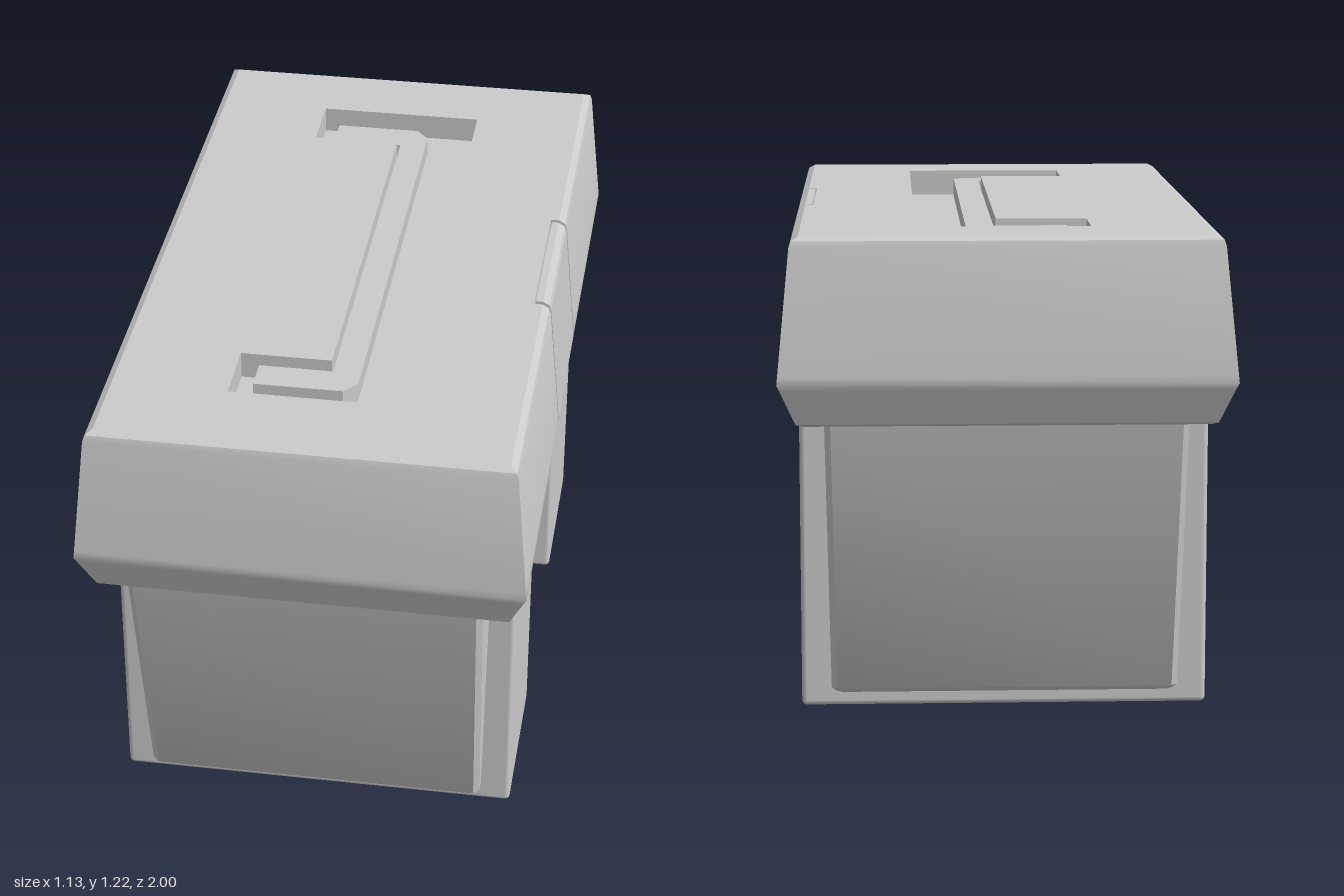
import * as THREE from 'three';
import { toCreasedNormals } from 'three/addons/utils/BufferGeometryUtils.js';
import { RoundedBoxGeometry } from 'three/addons/geometries/RoundedBoxGeometry.js';

const grey = new THREE.MeshStandardMaterial({ color: 0xcccccc });
const greyDouble = new THREE.MeshStandardMaterial({ color: 0xcccccc, side: THREE.DoubleSide });

function part(name, geometry, material = grey) {
  const mesh = new THREE.Mesh(geometry, material);
  mesh.name = name;
  return mesh;
}

const toShape = (pts) => new THREE.Shape(pts.map(([x, z]) => new THREE.Vector2(x, z)));

// Flat plate from an (x, z) outline, with its upper face at y = top
function slab(outline, top, depth, hole) {
  const shape = toShape(outline);
  if (hole) shape.holes.push(toShape(hole));
  const geo = new THREE.ExtrudeGeometry(shape, { depth, bevelEnabled: false });
  return geo.rotateX(Math.PI / 2).translate(0, top, 0);
}

// Open skin through rings [{ y, pts: [[x, z], ...] }] listed from bottom to top
function loft(rings) {
  const pos = [];
  for (let r = 0; r < rings.length - 1; r++) {
    const lo = rings[r], hi = rings[r + 1], n = lo.pts.length;
    for (let i = 0; i < n; i++) {
      const j = (i + 1) % n;
      const at = (ring, k) => [ring.pts[k][0], ring.y, ring.pts[k][1]];
      const a = at(lo, i), b = at(lo, j), c = at(hi, j), d = at(hi, i);
      pos.push(...a, ...c, ...b, ...a, ...d, ...c);
    }
  }
  const geo = new THREE.BufferGeometry();
  geo.setAttribute('position', new THREE.Float32BufferAttribute(pos, 3));
  geo.computeVertexNormals();
  return toCreasedNormals(geo, 0.7);
}

// Half width and height of the lid wall; its half length is always 0.44 more
const lidProfile = [
  [0.5, 0.755], [0.515, 0.762], [0.552, 0.85], [0.559, 0.866],
  [0.557, 0.885], [0.527, 1.195], [0.522, 1.21], [0.505, 1.22],
];
const NOTCH_X = 0.483, NOTCH_Z = 0.216;

// Lid outline with the notch for the latch
const lidOutline = (w) => {
  const l = w + 0.44;
  return [
    [-w, -l], [w, -l], [w, -NOTCH_Z], [NOTCH_X, -NOTCH_Z],
    [NOTCH_X, NOTCH_Z], [w, NOTCH_Z], [w, l], [-w, l],
  ];
};

const chamferedRect = (w, l, c) => [
  [-w + c, -l], [w - c, -l], [w, -l + c], [w, l - c],
  [w - c, l], [-w + c, l], [-w, l - c], [-w, -l + c],
];

function createLid() {
  const lid = new THREE.Group();
  lid.name = 'lid';

  const rings = lidProfile.map(([w, y]) => ({ y, pts: lidOutline(w) }));
  lid.add(part('lidWall', loft(rings)));
  lid.add(part('lidUnderside', slab(lidOutline(0.5), 0.765, 0.01)));

  // Top plate with a C-shaped recess around a flush centre block
  const recess = [
    [-0.215, -0.745], [0.22, -0.745], [0.22, 0.735], [-0.215, 0.735],
    [-0.215, 0.56], [0.015, 0.56], [0.015, -0.57], [-0.215, -0.57],
  ];
  lid.add(part('lidTop', slab(lidOutline(0.505), 1.22, 0.07, recess)));
  lid.add(part('recessFloor', slab(recess, 1.15, 0.01)));

  // Folding handle lying in the recess
  const handle = [
    [-0.165, -0.68], [0.06, -0.68], [0.092, -0.64], [0.092, 0.63], [0.06, 0.67],
    [-0.165, 0.67], [-0.165, 0.585], [0.022, 0.585], [0.022, -0.59], [-0.165, -0.59],
  ];
  lid.add(part('handle', slab(handle, 1.205, 0.05)));

  // Latch following the lid wall, with a narrow gap at each end
  const latchShape = toShape([[0.487, 0.755], ...lidProfile, [0.487, 1.22]]);
  const latchGeo = new THREE.ExtrudeGeometry(latchShape, { depth: 0.406, bevelEnabled: false });
  lid.add(part('latch', latchGeo.translate(0, 0, -0.203), greyDouble));

  // Two hinges of three knuckles each
  for (const side of [-1, 1]) {
    for (let i = -1; i <= 1; i++) {
      const knuckle = new THREE.CylinderGeometry(0.013, 0.013, 0.076, 12).rotateX(Math.PI / 2);
      const mesh = part('hingeKnuckle', knuckle);
      mesh.position.set(-0.555, 0.868, side * 0.49 + i * 0.082);
      lid.add(mesh);
    }
  }
  return lid;
}

function createBase() {
  const base = new THREE.Group();
  base.name = 'base';

  // Tapered tub
  const rings = [[0.425, 0.78, 0.045], [0.437, 0.792, 0.057], [0.447, 0.935, 0.77]]
    .map(([w, l, y]) => ({ y, pts: chamferedRect(w, l, 0.015) }));
  base.add(part('tubWall', loft(rings)));
  base.add(part('tubBottom', slab(rings[0].pts, 0.055, 0.01)));

  // Broad bands that wrap the tub and form the feet
  for (const side of [-1, 1]) {
    const band = part('footBand', new RoundedBoxGeometry(1.026, 0.775, 0.445, 2, 0.013));
    band.position.set(0, 0.3875, side * 0.522);
    base.add(band);
  }
  return base;
}

export function createModel() {
  const model = new THREE.Group();
  model.name = 'coolBox';
  model.add(createBase(), createLid());
  return model;
}
